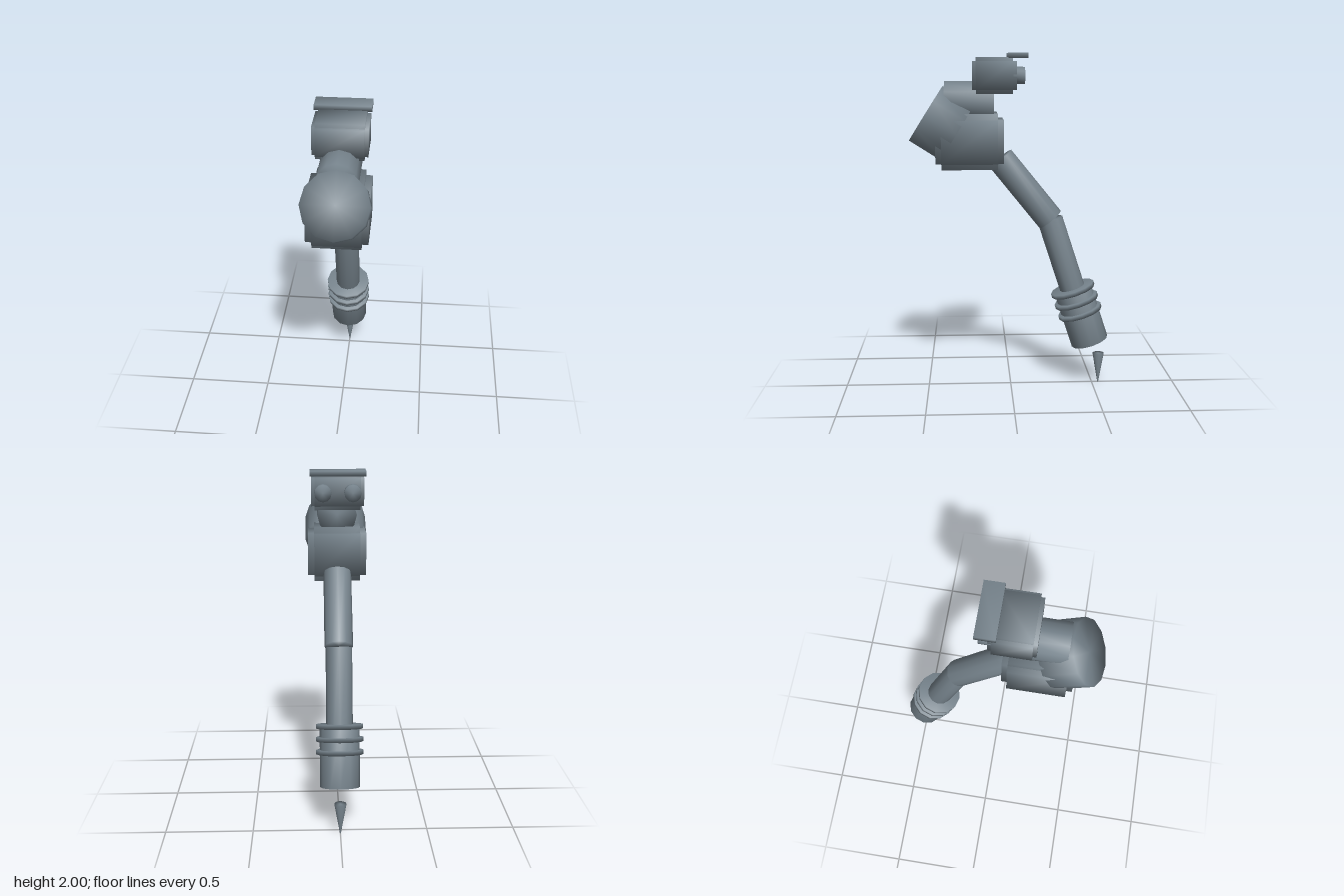
import * as THREE from 'three';
import { mergeVertices } from 'three/addons/utils/BufferGeometryUtils.js';

const material = new THREE.MeshStandardMaterial({ color: 0x76838c });
const SIDES = 12;
const UP = new THREE.Vector3(0, 1, 0);

// Weld corners so shading flows over every edge
function soften(geometry) {
  geometry.deleteAttribute('normal');
  geometry.deleteAttribute('uv');
  const welded = mergeVertices(geometry, 1e-4);
  welded.computeVertexNormals();
  return welded;
}

function add(parent, name, geometry) {
  const mesh = new THREE.Mesh(soften(geometry), material);
  mesh.name = name;
  parent.add(mesh);
  return mesh;
}

// Cylinder running from point a to point b
function rod(parent, name, a, b, radiusA, radiusB = radiusA) {
  const start = new THREE.Vector3(...a);
  const end = new THREE.Vector3(...b);
  const axis = end.clone().sub(start);
  const mesh = add(parent, name, new THREE.CylinderGeometry(radiusB, radiusA, axis.length(), SIDES));
  mesh.position.copy(start).add(end).multiplyScalar(0.5);
  mesh.quaternion.setFromUnitVectors(UP, axis.normalize());
  return mesh;
}

// Block with stepped edges: three crossing slabs, each reaching its outer half size on one axis
function steppedBlock(parent, name, center, outer, inner) {
  const block = new THREE.Group();
  block.name = name;
  block.position.set(...center);
  parent.add(block);
  for (let axis = 0; axis < 3; axis++) {
    const size = inner.map((half, i) => 2 * (i === axis ? outer[i] : half));
    add(block, name + 'Slab', new THREE.BoxGeometry(...size));
  }
}

export function createModel() {
  const model = new THREE.Group();
  model.name = 'roboticArm';

  // Head with brow plate and two eyes facing the back
  const head = new THREE.Group();
  head.name = 'head';
  model.add(head);
  steppedBlock(head, 'headShell', [0, 1.872, 0.098], [0.152, 0.103, 0.127], [0.132, 0.08, 0.106]);
  add(head, 'browPlate', new THREE.BoxGeometry(0.316, 0.03, 0.112)).position.set(0, 1.985, -0.037);
  for (const side of [-1, 1]) {
    rod(head, side > 0 ? 'leftEye' : 'rightEye',
      [side * 0.085, 1.872, 0], [side * 0.085, 1.872, -0.077], 0.049);
  }

  // Neck, shoulder drum and body
  rod(model, 'neck', [0, 1.723, 0.1], [0, 1.723, 0.387], 0.116);
  rod(model, 'shoulderDrum', [0, 1.54, 0.318], [0, 1.653, 0.496], 0.187);
  steppedBlock(model, 'body', [0, 1.495, 0.242], [0.172, 0.16, 0.197], [0.135, 0.125, 0.163]);

  // Two arm segments
  rod(model, 'upperArm', [0, 1.388, 0.061], [0, 1.022, -0.235], 0.082);
  const elbow = new THREE.Vector3(0, 1.02, -0.236);
  const wristEnd = new THREE.Vector3(0, 0.263, -0.484);
  const along = wristEnd.clone().sub(elbow).normalize();
  const pointFromEnd = (d) => wristEnd.clone().addScaledVector(along, -d).toArray();
  rod(model, 'forearm', elbow.toArray(), pointFromEnd(0.25), 0.076);

  // Wrist sleeve with three flat rings
  rod(model, 'wristSleeve', pointFromEnd(0.345), wristEnd.toArray(), 0.114);
  for (let i = 0; i < 3; i++) {
    const distance = 0.345 - i * 0.073;
    rod(model, 'wristRing', pointFromEnd(distance + 0.0125), pointFromEnd(distance - 0.0125), 0.135);
  }

  // Detached pointed tip
  rod(model, 'pointedTip', [0, 0, -0.539], [0, 0.184, -0.539], 0.003, 0.035);

  return model;
}
